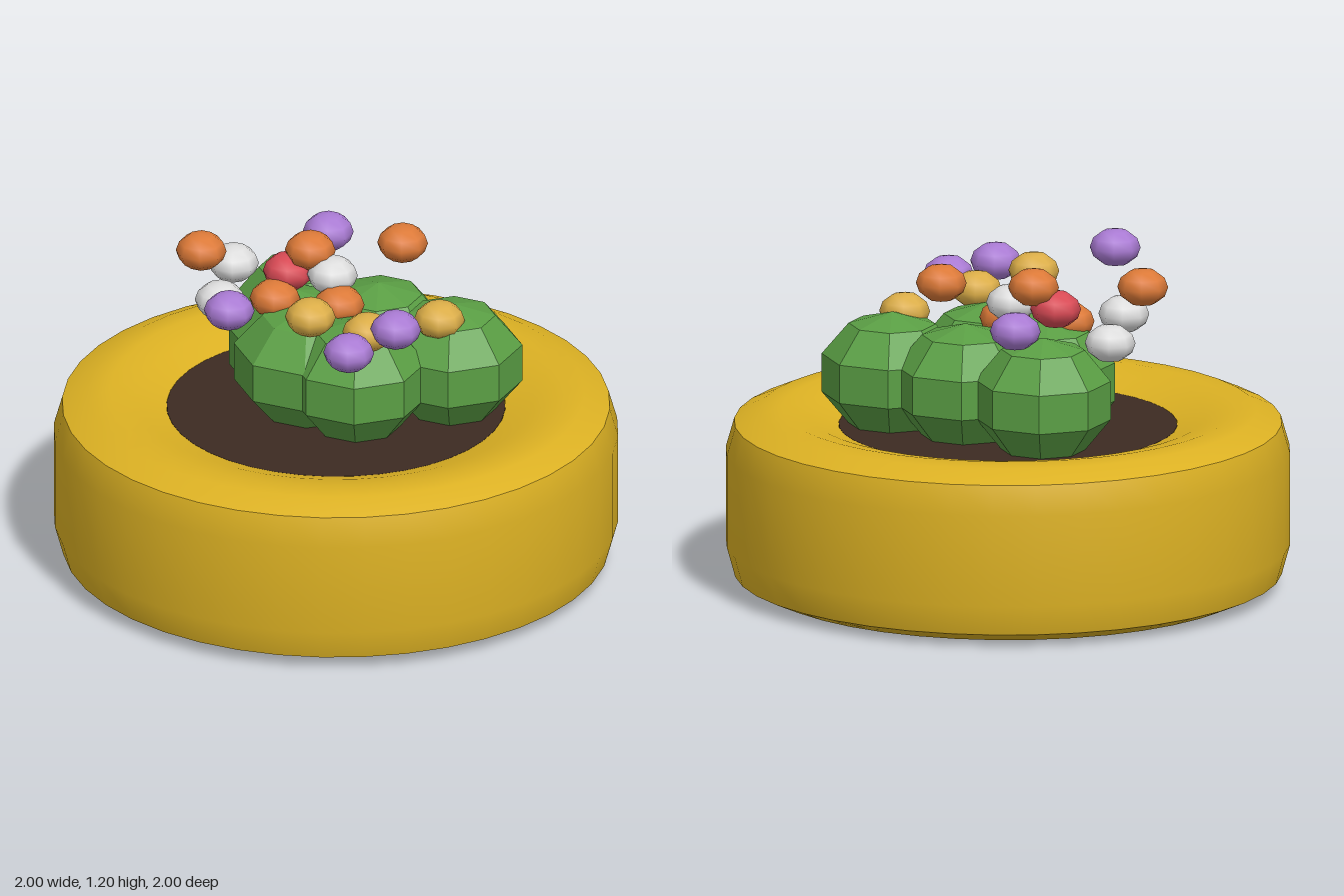
import * as THREE from 'three';

const mat = (name, color) => {
  const m = new THREE.MeshStandardMaterial({ color });
  m.name = name;
  return m;
};

export function createModel() {
  const group = new THREE.Group();
  const tyreYellow = mat('tyre yellow', 0xdcb123);
  const soilBrown = mat('soil brown', 0x3d2b22);
  const leafGreen = mat('leaf green', 0x5a9e44);
  const purple = mat('petal purple', 0xaa7bd4);
  const orange = mat('petal orange', 0xdd7a38);
  const white = mat('petal white', 0xdedede);
  const red = mat('petal red', 0xd94a55);
  const amber = mat('petal amber', 0xdcae48);

  const add = (parent, name, geometry, material) => {
    const mesh = new THREE.Mesh(geometry, material);
    mesh.name = name;
    parent.add(mesh);
    return mesh;
  };

  // Tyre: separate bands keep the edges between them sharp
  const tyre = new THREE.Group();
  tyre.name = 'tyre';
  group.add(tyre);
  const band = (name, points) => add(tyre, name,
    new THREE.LatheGeometry(points.map(([r, y]) => new THREE.Vector2(r, y)), 40), tyreYellow);
  const H = 0.636;
  const wall = [[0.97, 0.59], [0.88, 0.63], [0.8, H], [0.7, 0.615], [0.6, 0.58]];
  band('tread', [[0.97, H - 0.59], [1, 0.155], [1, 0.485], [0.97, 0.59]]);
  band('upperSidewall', wall);
  band('lowerSidewall', wall.map(([r, y]) => [r, H - y]).reverse());
  band('innerWall', [[0.6, 0.58], [0.6, H - 0.58]]);

  // Soil plug filling the upper half of the hole
  add(group, 'soil', new THREE.CylinderGeometry(0.599, 0.599, 0.27, 40), soilBrown)
    .position.y = 0.445;

  // Faceted leafy clumps: x, z, radius
  const clumps = [
    [0.285, -0.295, 0.25], [-0.02, -0.22, 0.25], [-0.365, -0.16, 0.24],
    [-0.045, 0.09, 0.265], [0.17, 0.05, 0.245], [-0.17, 0.04, 0.235],
  ];
  const foliage = new THREE.Group();
  foliage.name = 'foliage';
  group.add(foliage);
  const leafGeometry = new THREE.SphereGeometry(1, 8, 5).toNonIndexed();
  leafGeometry.computeVertexNormals();
  for (const [x, z, r] of clumps) {
    const clump = add(foliage, 'leafClump', leafGeometry, leafGreen);
    clump.position.set(x, 0.76, z);
    clump.scale.set(r / 0.951, 0.225, r / 0.951);
  }

  // Blossoms above the leaves: x, y, z
  const blossoms = [
    [purple, [[-0.38, 1.035, -0.305], [0.405, 1.04, 0.08], [0.44, 1.04, 0.335], [0.035, 1.13, 0.54]]],
    [orange, [[0.03, 1.135, -0.29], [0, 0.97, -0.015], [-0.175, 1.115, -0.035],
      [-0.19, 0.97, 0.12], [-0.43, 1.115, 0.255]]],
    [white, [[-0.52, 0.965, 0.02], [-0.08, 1.045, -0.055], [-0.285, 0.985, 0.295]]],
    [red, [[-0.225, 1.035, 0.025]]],
    [amber, [[0.325, 0.965, -0.2], [0.29, 1, 0.11], [0.165, 1.065, 0.27]]],
  ];
  const flowers = new THREE.Group();
  flowers.name = 'flowers';
  group.add(flowers);
  const blossomGeometry = new THREE.SphereGeometry(0.09, 8, 6);
  for (const [material, places] of blossoms) {
    for (const place of places) {
      const blossom = add(flowers, 'blossom', blossomGeometry, material);
      blossom.position.set(...place);
      blossom.scale.y = 0.75;
    }
  }
  return group;
}
